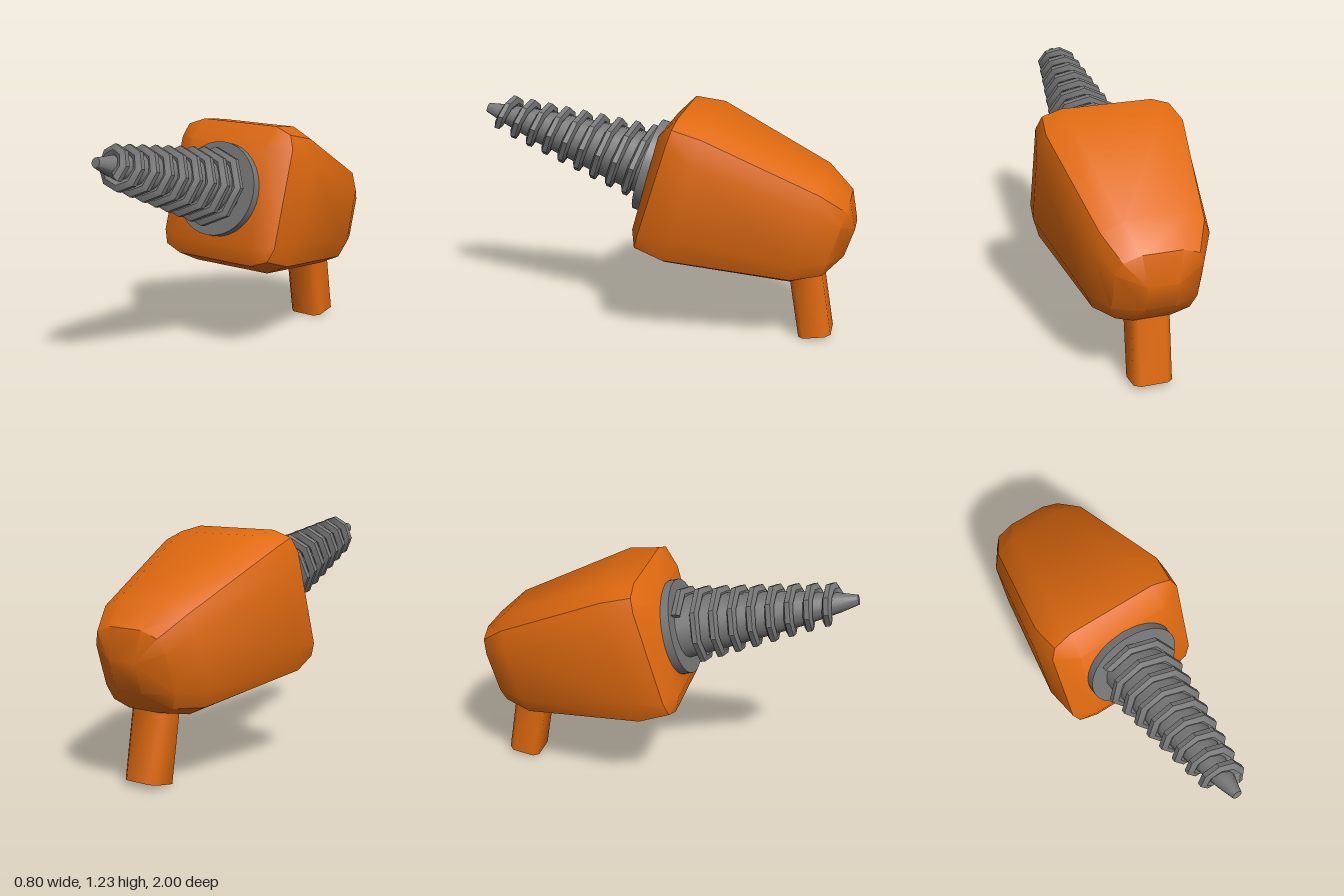
import * as THREE from 'three';
import { toCreasedNormals } from 'three/addons/utils/BufferGeometryUtils.js';

const orange = new THREE.MeshStandardMaterial({ color: 0xe06a10 });
const steel = new THREE.MeshStandardMaterial({ color: 0x777777 });

// Skin a list of rings (counter-clockwise about the direction of travel), capping both ends.
function loft(rings, crease) {
  const n = rings[0].length, index = [];
  for (let i = 0; i < rings.length - 1; i++) {
    for (let j = 0; j < n; j++) {
      const a = i * n + j, b = i * n + (j + 1) % n;
      index.push(a, b, b + n, a, b + n, a + n);
    }
  }
  const last = (rings.length - 1) * n;
  for (let j = 1; j < n - 1; j++) {
    index.push(0, j + 1, j, last, last + j, last + j + 1);
  }
  const geometry = new THREE.BufferGeometry();
  geometry.setAttribute('position', new THREE.Float32BufferAttribute(rings.flat(2), 3));
  geometry.setIndex(index);
  return toCreasedNormals(geometry, crease);
}

function addMesh(parent, name, geometry, material) {
  const mesh = new THREE.Mesh(geometry, material);
  mesh.name = name;
  parent.add(mesh);
  return mesh;
}

// Twelve-sided cross-section of the body, slanted between a top and a bottom point.
function bodyRing([topZ, topY, botZ, botY, side, flat, sideT, corner, cornerT]) {
  const quarter = [[side, 1 - sideT], [corner, 1 - cornerT], [flat, 1]];
  const upper = [...quarter, ...quarter.map(([x, t]) => [-x, t]).reverse()];
  const outline = [...upper, ...upper.map(([x, t]) => [-x, 1 - t])];
  return outline.map(([x, t]) => [x, botY + (topY - botY) * t, botZ + (topZ - botZ) * t]);
}

// Tapered spiral ridge with a six-sided section.
function threadGeometry() {
  const rings = [], perTurn = 8, pitch = 0.096, end = 0.83, steps = Math.round(8.5 * perTurn);
  for (let i = 0; i <= steps; i++) {
    const back = steps - i;
    const s = end - back * pitch / perTurn;
    const angle = -0.7 + back * Math.PI * 2 / perTurn;
    const radius = THREE.MathUtils.mapLinear(s, 0.02, end, 0.185, 0.075);
    const ring = [];
    for (let k = 0; k < 6; k++) {
      const a = k * Math.PI / 3 + Math.PI / 6;
      const r = radius + 0.035 * Math.cos(a);
      ring.push([r * Math.cos(angle), r * Math.sin(angle), s + 0.025 * Math.sin(a)]);
    }
    rings.push(ring);
  }
  return loft(rings, 0.3);
}

export function createModel() {
  const model = new THREE.Group();
  model.name = 'handDrill';

  // Body: cross-sections from back to front
  const sections = [
    [-1.00, 0.64, -0.95, 0.49, 0.08, 0.08, 0, 0.08, 0],
    [-0.97, 0.80, -0.84, 0.38, 0.22, 0.10, 0.25, 0.19, 0.08],
    [-0.84, 0.92, -0.68, 0.35, 0.30, 0.15, 0.25, 0.26, 0.09],
    [-0.26, 1.20, -0.03, 0.44, 0.40, 0.24, 0.24, 0.36, 0.07],
    [-0.10, 1.22, 0.12, 0.51, 0.37, 0.24, 0.15, 0.34, 0.05],
    [0.00, 1.12, 0.14, 0.61, 0.25, 0.25, 0, 0.25, 0],
  ];
  addMesh(model, 'body', loft(sections.map(bodyRing), 0.6), orange);

  // Handle: a chamfered post leaning slightly
  const profile = [[0.087, 0.07], [0.06, 0.1], [-0.06, 0.1], [-0.087, 0.07],
    [-0.087, -0.07], [-0.06, -0.1], [0.06, -0.1], [0.087, -0.07]];
  const post = loft([0, 0.45].map((y) => profile.map(([z, x]) => [x, y, z])), 0.9);
  const handle = addMesh(model, 'handle', post, orange);
  handle.position.set(0, 0.015, -0.815);
  handle.rotation.x = 0.17;

  // Drill bit: collar, tapered core and thread along a tilted axis
  const bit = new THREE.Group();
  bit.name = 'drillBit';
  bit.position.set(0, 0.895, 0.11);
  bit.rotation.x = -0.285;
  model.add(bit);

  const collar = addMesh(bit, 'collar', new THREE.CylinderGeometry(0.25, 0.25, 0.06, 32), steel);
  collar.rotation.x = Math.PI / 2;
  collar.position.z = -0.03;

  const coreProfile = [[0, -0.02], [0.17, -0.02], [0.145, 0.2], [0.09, 0.62], [0.05, 0.83],
    [0.025, 0.925], [0, 0.925]].map(([r, y]) => new THREE.Vector2(r, y));
  const core = toCreasedNormals(new THREE.LatheGeometry(coreProfile, 16), 0.7);
  addMesh(bit, 'bitCore', core, steel).rotation.x = Math.PI / 2;

  addMesh(bit, 'bitThread', threadGeometry(), steel);

  return model;
}
